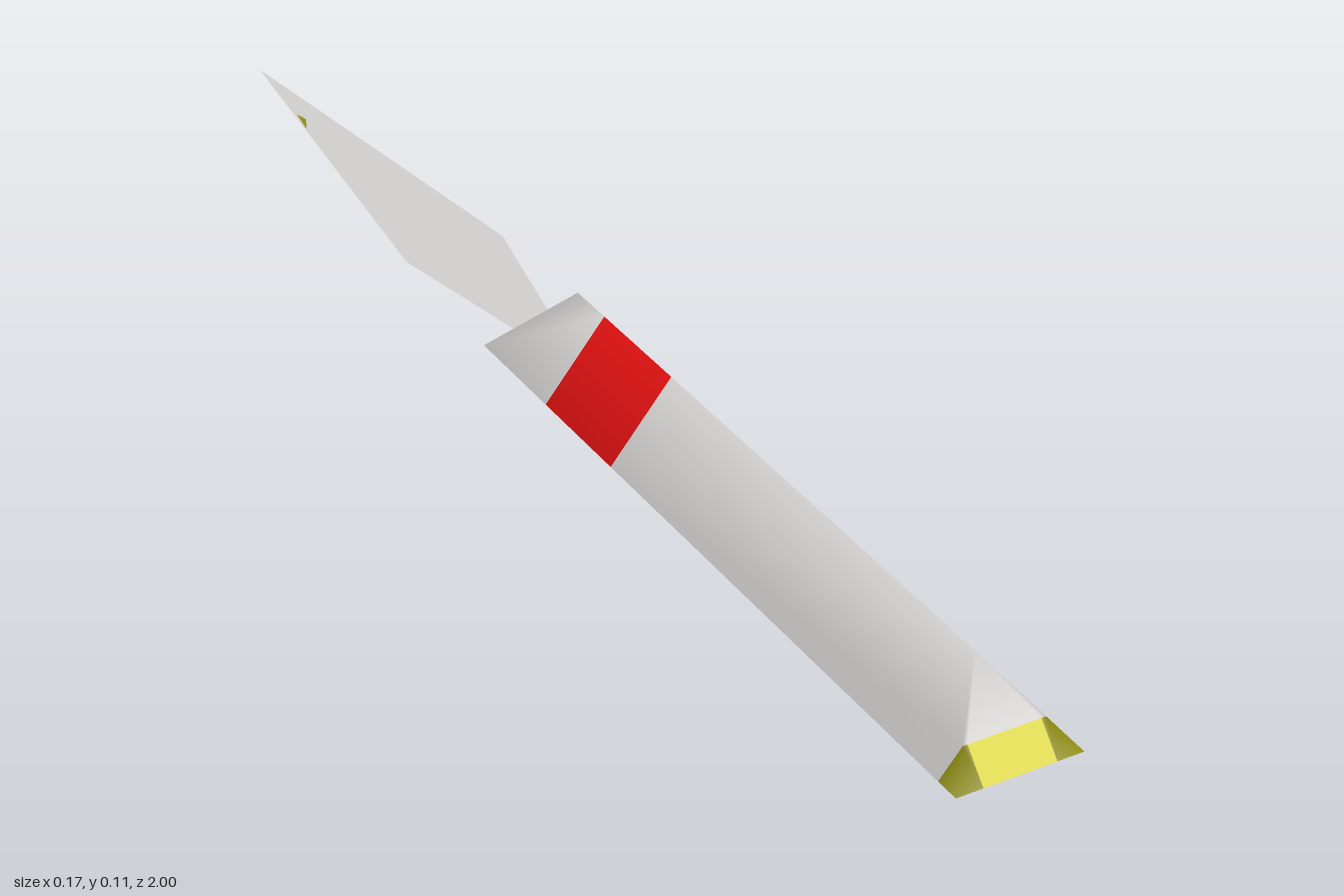
import * as THREE from 'three';

const mat = (name, color) => {
  const m = new THREE.MeshStandardMaterial({ color, side: THREE.DoubleSide });
  m.name = name;
  return m;
};

export function createModel() {
  const group = new THREE.Group();
  const grey = mat('light grey', 0xd0cecd);
  const red = mat('red', 0xd81010);
  const yellow = mat('yellow', 0xd6d030);
  const olive = mat('olive', 0x8e8c12);

  const add = (name, geometry, material) => {
    const mesh = new THREE.Mesh(geometry, material);
    mesh.name = name;
    group.add(mesh);
  };

  // Handle: open-bottomed three-sided shell with sloped ends, left half first
  const W = 0.087, B = 0.005, H = 0.112;
  const half = [
    [W, B, -0.11], [W, B, 0.06], [W, B, 0.23], [W, B, 0.965], [W, B, 1],  // 0-4 lower edge
    [0.0565, 0.0425, 0.965],                                              // 5 tip line on front edge
    [0, H, -0.01], [0, H, 0.06], [0, H, 0.23], [0, H, 0.9],               // 6-9 ridge
    [0.05, B, 1], [0.05, 0.0425, 0.965],                                  // 10-11 tip centre panel
  ];
  const N = half.length;
  const points = [...half, ...half.map(([x, y, z]) => [-x, y, z])];
  const mirror = (i) => (half[i][0] === 0 ? i : i + N);

  // Faces of the left half by colour, mirrored to the right
  const sides = [
    [[0, 6, 7], [0, 7, 1], [2, 8, 9], [2, 9, 5], [2, 5, 3], [11, 5, 9]],  // grey walls
    [[1, 7, 8], [1, 8, 2]],                                              // red band
    [],
    [[3, 5, 4], [10, 4, 5], [10, 5, 11]],                                // olive corners
  ];
  // Faces that cross the centre line
  const middle = [
    [[0, N, 6], [N + 11, 11, 9]],
    [],
    [[10, 11, N + 11], [10, N + 11, N + 10]],
    [],
  ];

  const shell = new THREE.BufferGeometry();
  shell.setAttribute('position', new THREE.Float32BufferAttribute(points.flat(), 3));
  const index = [];
  sides.forEach((faces, k) => {
    const start = index.length;
    for (const [a, b, c] of faces) {
      index.push(a, b, c, mirror(a), mirror(c), mirror(b));
    }
    index.push(...middle[k].flat());
    shell.addGroup(start, index.length - start, k);
  });
  shell.setIndex(index);
  shell.computeVertexNormals();
  add('handle', shell, [grey, red, yellow, olive]);

  // Blade: thin kite with a very shallow keel
  const blade = new THREE.BufferGeometry();
  blade.setAttribute('position', new THREE.Float32BufferAttribute([
    0, 0, -1, 0.075, 0.004, -0.36, 0, 0, 0.015, -0.075, 0.004, -0.36,
  ], 3));
  blade.setIndex([0, 2, 1, 0, 3, 2]);
  blade.computeVertexNormals();
  add('blade', blade, grey);

  // Small fleck on the blade edge
  const fleck = new THREE.BufferGeometry();
  fleck.setAttribute('position', new THREE.Float32BufferAttribute([
    -0.018, 0.005, -0.83, -0.026, 0.005, -0.78, -0.013, 0.005, -0.81,
  ], 3));
  fleck.setIndex([0, 1, 2]);
  fleck.computeVertexNormals();
  add('bladeFleck', fleck, olive);

  return group;
}
